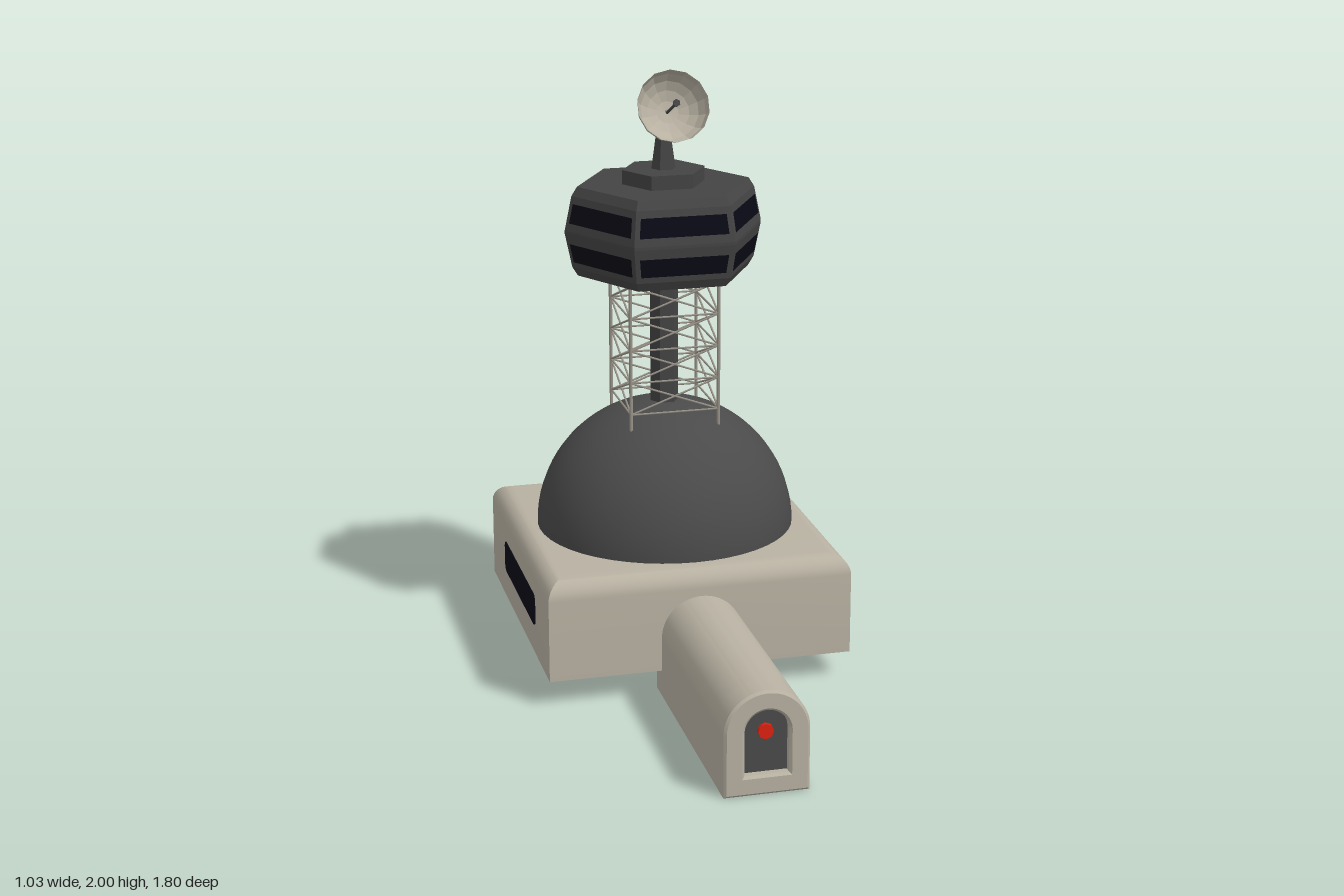
import * as THREE from 'three';
import { toCreasedNormals } from 'three/addons/utils/BufferGeometryUtils.js';

const mat = (color, extra = {}) => new THREE.MeshStandardMaterial({ color, ...extra });
const shell = mat(0xb8b1a2);
const dark = mat(0x4a4a4a);
const darkFlat = mat(0x444444, { flatShading: true });
const glass = mat(0x0a0a16, { side: THREE.DoubleSide });
const strutMat = mat(0x9a958a);
const dishMat = mat(0xb8b1a2, { flatShading: true, side: THREE.DoubleSide });
const red = mat(0xdd2211);

const V = (x, y, z) => new THREE.Vector3(x, y, z);

function add(parent, name, geometry, material, x = 0, y = 0, z = 0) {
  const mesh = new THREE.Mesh(geometry, material);
  mesh.name = name;
  mesh.position.set(x, y, z);
  parent.add(mesh);
  return mesh;
}

// Straight bar between two points
function bar(parent, name, a, b, r, material, sides = 6) {
  const d = b.clone().sub(a);
  const mesh = add(parent, name, new THREE.CylinderGeometry(r, r, d.length(), sides), material);
  mesh.position.copy(a).add(b).multiplyScalar(0.5);
  mesh.quaternion.setFromUnitVectors(V(0, 1, 0), d.normalize());
  return mesh;
}

// Prism from [radius, y] rows
const prism = (rows, sides, phi) =>
  new THREE.LatheGeometry(rows.map(([r, y]) => new THREE.Vector2(r, y)), sides, phi);

// Flat bottom with a round top
function arch(Type, half, y0, spring) {
  const s = new Type();
  s.moveTo(-half, y0);
  s.lineTo(half, y0);
  s.lineTo(half, spring);
  s.absarc(0, spring, half, 0, Math.PI, false);
  s.lineTo(-half, y0);
  return s;
}

function roundedRect(w, h, r) {
  const s = new THREE.Shape();
  const x = w / 2 - r, y = h / 2 - r;
  s.absarc(x, y, r, 0, Math.PI / 2, false);
  s.absarc(-x, y, r, Math.PI / 2, Math.PI, false);
  s.absarc(-x, -y, r, Math.PI, Math.PI * 1.5, false);
  s.absarc(x, -y, r, Math.PI * 1.5, Math.PI * 2, false);
  s.closePath();
  return s;
}

function buildBase(tower) {
  // Square block with rounded upper edges
  const half = 0.51, round = 0.065, rows = [[0, 0.09], [half, 0.09]];
  for (let i = 0; i <= 8; i++) {
    const a = (i / 8) * Math.PI / 2;
    rows.push([half - round + round * Math.cos(a), 0.365 + round * Math.sin(a)]);
  }
  rows.push([0, 0.43]);
  const block = prism(rows.map(([r, y]) => [r * Math.SQRT2, y]), 4, Math.PI / 4);
  add(tower, 'base', toCreasedNormals(block, 0.5), shell);

  // Long window on each side
  const pane = new THREE.ExtrudeGeometry(roundedRect(0.545, 0.11, 0.025), { depth: 0.006, bevelEnabled: false });
  for (const s of [-1, 1]) {
    add(tower, 'baseWindow', pane, glass, s * 0.507, 0.245, 0.005).rotation.y = s * Math.PI / 2;
  }
  add(tower, 'dome', new THREE.SphereGeometry(0.437, 48, 20, 0, Math.PI * 2, 0, Math.PI / 2), dark, 0, 0.425, 0);
}

function buildLattice(tower) {
  const lattice = new THREE.Group();
  lattice.name = 'lattice';
  tower.add(lattice);
  add(lattice, 'core', new THREE.CylinderGeometry(0.048, 0.048, 0.5, 6).rotateY(Math.PI / 2), darkFlat, 0, 1.07, 0);
  const h = 0.15, y0 = 0.86, bay = 0.11;
  const corners = [[h, h], [h, -h], [-h, -h], [-h, h]];
  corners.forEach(([x, z], i) => {
    const [x2, z2] = corners[(i + 1) % 4];
    bar(lattice, 'post', V(x, 0.8, z), V(x, 1.32, z), 0.006, strutMat);
    for (let k = 0; k < 4; k++) {
      const y = y0 + k * bay;
      bar(lattice, 'rung', V(x, y, z), V(x2, y, z2), 0.0035, strutMat, 5);
      bar(lattice, 'brace', V(x, y, z), V(x2, y + bay, z2), 0.0035, strutMat, 5);
      bar(lattice, 'brace', V(x2, y, z2), V(x, y + bay, z), 0.0035, strutMat, 5);
    }
  });
}

function buildCabin(tower) {
  const cabin = new THREE.Group();
  cabin.name = 'cabin';
  tower.add(cabin);
  const rows = [[0, 1.31], [0.292, 1.31], [0.311, 1.34], [0.335, 1.455], [0.335, 1.465],
    [0.311, 1.58], [0.292, 1.61], [0, 1.61]];
  add(cabin, 'cabinBody', prism(rows, 6, Math.PI / 2), darkFlat);

  // Two rows of sloping windows on all six faces
  const radiusAt = (y) => 0.335 - (Math.abs(y - 1.46) - 0.005) * 0.024 / 0.115;
  for (const [low, high] of [[1.36, 1.422], [1.492, 1.556]]) {
    const p = [];
    for (const [side, y] of [[-1, low], [1, low], [1, high], [-1, high]]) {
      const r = radiusAt(y);
      p.push(side * (r / 2 - 0.016), y, r * Math.cos(Math.PI / 6) + 0.002);
    }
    const pane = new THREE.BufferGeometry();
    pane.setAttribute('position', new THREE.Float32BufferAttribute(p, 3));
    pane.setIndex([0, 1, 2, 0, 2, 3]);
    pane.computeVertexNormals();
    for (let k = 0; k < 6; k++) add(cabin, 'cabinWindow', pane, glass).rotation.y = k * Math.PI / 3;
  }
  add(cabin, 'roofStep', new THREE.CylinderGeometry(0.14, 0.14, 0.055, 6).rotateY(Math.PI / 2), darkFlat, 0, 1.63, 0);
  add(cabin, 'mast', new THREE.CylinderGeometry(0.014, 0.042, 0.2, 6).rotateY(Math.PI / 2), darkFlat, 0, 1.75, 0);
}

function buildDish(tower) {
  // Local +y is the aiming direction, with the rim at y = 0
  const dish = new THREE.Group();
  dish.name = 'dish';
  dish.position.set(0, 1.89, 0.142);
  dish.rotation.x = Math.PI / 2 - 0.41;
  tower.add(dish);
  const rows = [];
  for (let i = 0; i <= 5; i++) {
    const a = (i / 5) * Math.PI / 2;
    rows.push([0.12 * Math.sin(a), -0.097 * Math.cos(a)]);
  }
  add(dish, 'reflector', prism(rows, 14, 0), dishMat);
  bar(dish, 'feedRod', V(0, -0.097, 0), V(0, 0.035, 0), 0.005, dark);
  add(dish, 'feedHorn', new THREE.CylinderGeometry(0.013, 0.008, 0.022, 6), darkFlat, 0, 0.033, 0);
  bar(tower, 'dishArm', V(0, 1.84, 0), V(0, 1.856, 0.056), 0.007, strutMat);
}

function buildTunnel(model) {
  const tunnel = new THREE.Group();
  tunnel.name = 'entranceTunnel';
  model.add(tunnel);
  const extrude = (shape, options) =>
    toCreasedNormals(new THREE.ExtrudeGeometry(shape, { curveSegments: 24, ...options }), 0.5);
  const outline = () => arch(THREE.Shape, 0.135, 0, 0.205);
  add(tunnel, 'tunnelBody', extrude(outline(), { depth: 0.815, bevelEnabled: false }), shell, 0, 0, 0.05);

  // Bevelled portal around the recessed door
  const portal = outline();
  portal.holes.push(arch(THREE.Path, 0.07, 0.065, 0.205));
  add(tunnel, 'portal', extrude(portal, {
    depth: 0.084, bevelThickness: 0.008, bevelSize: 0.008, bevelOffset: -0.008, bevelSegments: 1,
  }), shell, 0, 0, 0.808);
  add(tunnel, 'door', new THREE.ShapeGeometry(arch(THREE.Shape, 0.08, 0.055, 0.205), 24), dark, 0, 0, 0.87);
  add(tunnel, 'doorLight', new THREE.CylinderGeometry(0.025, 0.025, 0.014, 8).rotateX(Math.PI / 2), red, 0, 0.2, 0.876);
}

export function createModel() {
  const model = new THREE.Group();
  model.name = 'controlTower';
  const tower = new THREE.Group();
  tower.name = 'tower';
  tower.position.z = -0.39;
  model.add(tower);
  buildBase(tower);
  buildLattice(tower);
  buildCabin(tower);
  buildDish(tower);
  buildTunnel(model);
  return model;
}
